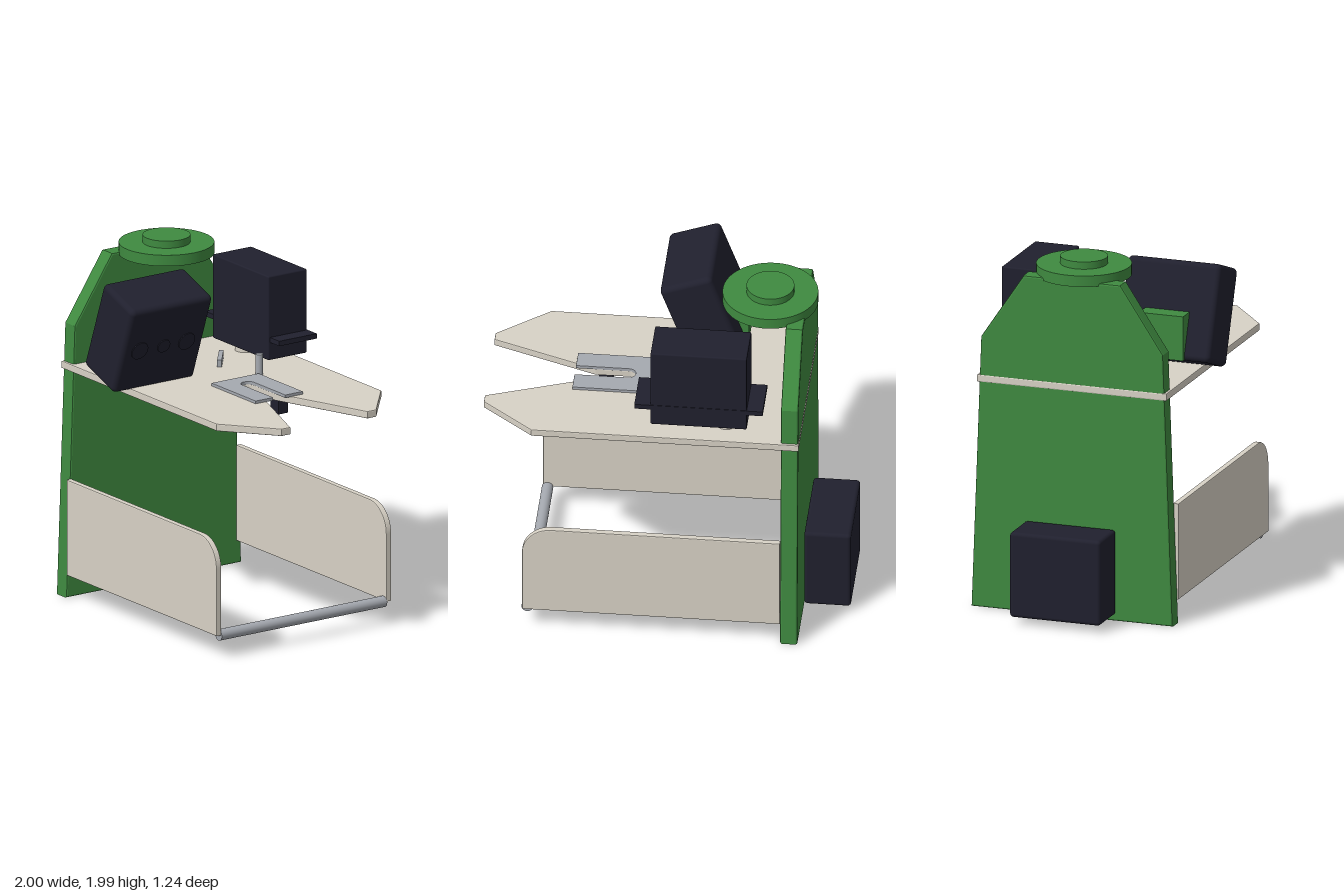
import * as THREE from 'three';
import { RoundedBoxGeometry } from 'three/addons/geometries/RoundedBoxGeometry.js';

const paint = (name, color) => {
  const m = new THREE.MeshStandardMaterial({ color });
  m.name = name;
  return m;
};

export function createModel() {
  const green = paint('green', 0x3f8a40);
  const black = paint('charcoal', 0x20202e);
  const cream = paint('cream', 0xd8d2c6);
  const steel = paint('steel', 0xa5a9b0);

  const model = new THREE.Group();
  model.name = 'machine';
  const midZ = -0.04; // symmetry plane of the frame

  const add = (name, geometry, material, x = 0, y = 0, z = 0, parent = model) => {
    const mesh = new THREE.Mesh(geometry, material);
    mesh.name = name;
    mesh.position.set(x, y, z);
    parent.add(mesh);
    return mesh;
  };
  const box = (w, h, d) => new THREE.BoxGeometry(w, h, d);
  const cyl = (r, h, n = 48) => new THREE.CylinderGeometry(r, r, h, n);
  // Extruded outline, from z = 0 to z = depth, with a slight edge bevel
  const slab = (shape, depth, b = 0.006) => new THREE.ExtrudeGeometry(shape, {
    depth: depth - 2 * b, bevelEnabled: true, bevelThickness: b, bevelSize: b,
    bevelOffset: -b, bevelSegments: 2, curveSegments: 16,
  }).translate(0, 0, b);
  const polygon = (pts) => new THREE.Shape(pts.map(([x, y]) => new THREE.Vector2(x, y)));

  // Upright panel with sloping shoulders
  const half = [[0.583, 0.01], [0.527, 1.54], [0.28, 1.91]];
  const outline = [...half, ...half.map(([z, y]) => [-z, y]).reverse()];
  add('backPanel', slab(polygon(outline), 0.095, 0.01).rotateY(-Math.PI / 2), green, -0.645, 0, midZ);

  // Stacked discs on top
  add('topDisc', cyl(0.26, 0.062, 64), green, -0.535, 1.924, -0.045);
  add('topCap', cyl(0.13, 0.042, 48), green, -0.535, 1.975, -0.045);

  // Motor housing behind the panel
  add('motorBox', new RoundedBoxGeometry(0.255, 0.48, 0.525, 3, 0.02), black, -0.872, 0.29, -0.044);

  // Side guards with one rounded corner
  const guard = new THREE.Shape();
  guard.moveTo(-0.645, 0.138);
  guard.lineTo(0.762, 0.138);
  guard.lineTo(0.762, 0.52);
  guard.absarc(0.602, 0.52, 0.16, 0, Math.PI / 2, false);
  guard.lineTo(-0.645, 0.68);
  guard.closePath();
  for (const [name, z] of [['leftGuard', 0.508], ['rightGuard', -0.622]])
    add(name, slab(guard, 0.035), cream, 0, 0, z);
  add('crossBar', cyl(0.031, 1.1, 32).rotateX(Math.PI / 2), steel, 0.737, 0.134, midZ);

  // Forked table with a slot leading into the notch
  const slotArc = (shape, r) => shape.absarc(0.24, 0, r, Math.PI / 2, Math.PI * 1.5, false);
  const table = new THREE.Shape();
  table.moveTo(-0.742, -0.548);
  table.lineTo(0.715, -0.548);
  table.lineTo(0.997, -0.315);
  table.lineTo(0.997, -0.256);
  table.lineTo(0.425, -0.042);
  table.lineTo(0.24, -0.042);
  table.absarc(0.24, 0, 0.042, Math.PI * 1.5, Math.PI / 2, true);
  table.lineTo(0.425, 0.042);
  table.lineTo(0.997, 0.256);
  table.lineTo(0.997, 0.315);
  table.lineTo(0.715, 0.548);
  table.lineTo(-0.742, 0.548);
  table.closePath();
  add('table', slab(table, 0.042).rotateX(Math.PI / 2), cream, 0, 1.325, midZ);

  // Steel throat plate
  const throat = new THREE.Shape();
  throat.moveTo(0.115, -0.157);
  throat.lineTo(0.53, -0.157);
  throat.lineTo(0.53, -0.04);
  throat.lineTo(0.24, -0.04);
  throat.absarc(0.24, 0, 0.04, Math.PI * 1.5, Math.PI / 2, true);
  throat.lineTo(0.53, 0.04);
  throat.lineTo(0.53, 0.157);
  throat.lineTo(0.115, 0.157);
  throat.closePath();
  add('throatPlate', slab(throat, 0.018, 0.001).rotateX(Math.PI / 2), steel, 0, 1.341, midZ);

  // Stops under the table
  for (const s of [-1, 1])
    add('stop', box(0.073, 0.092, 0.066), black, 0.372, 1.239, midZ + 0.003 + s * 0.116);

  // Guide pin and angled guide bar
  add('guidePin', cyl(0.02, 0.116, 24), steel, 0.087, 1.382, -0.222);
  const bar = add('guideBar', box(0.19, 0.04, 0.025), steel, -0.22, 1.345, -0.18);
  bar.rotation.y = -0.67;

  // Rear head with flange and foot
  add('rearHead', new RoundedBoxGeometry(0.525, 0.475, 0.257, 2, 0.008), black, -0.194, 1.622, -0.424);
  add('rearFlange', box(0.7, 0.028, 0.25), black, -0.194, 1.5, -0.43);
  add('rearFoot', cyl(0.055, 0.066, 32), cream, -0.333, 1.357, -0.425);

  // Tilted control head with three flush dials
  const head = new THREE.Group();
  head.name = 'controlHead';
  head.position.set(-0.146, 1.615, 0.35);
  head.rotation.z = -0.352;
  model.add(head);
  add('controlBox', new RoundedBoxGeometry(0.3, 0.54, 0.54, 4, 0.03), black, 0, 0, 0, head);
  for (const [z, r] of [[0.16, 0.053], [0, 0.04], [-0.152, 0.053]])
    add('dial', cyl(r, 0.008, 32).rotateZ(Math.PI / 2), black, 0.152, 0, z, head);
  add('headBracket', box(0.106, 0.25, 0.255), green, -0.338, 1.536, 0.347);

  return model;
}
